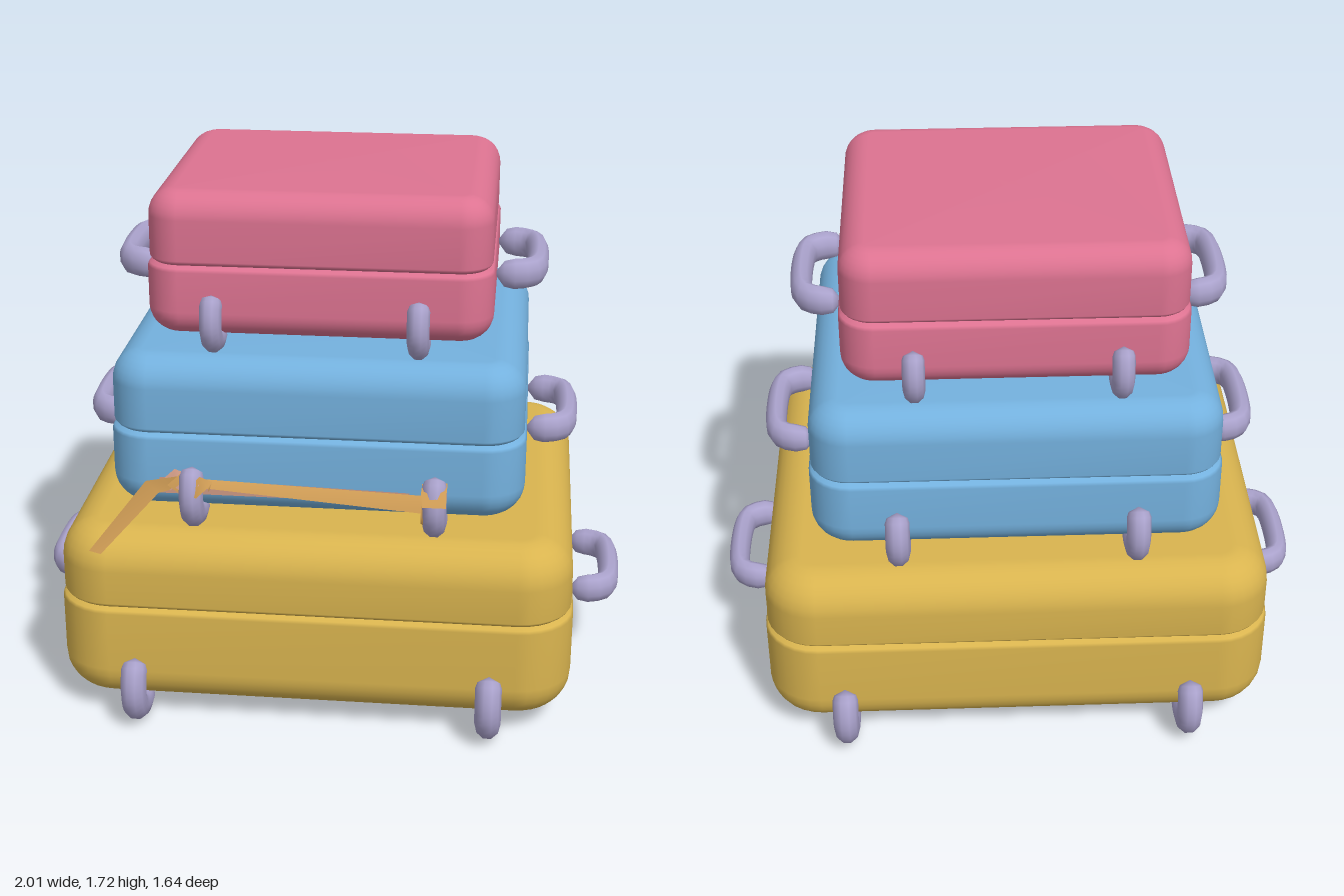
import * as THREE from 'three';
import { mergeVertices } from 'three/addons/utils/BufferGeometryUtils.js';

const material = (name, color, side = THREE.FrontSide) => {
  const m = new THREE.MeshStandardMaterial({ color, side });
  m.name = name;
  return m;
};

const named = (object, name) => {
  object.name = name;
  return object;
};

// Rounded rectangle in plan, shrunk by an inset, as [x, z] points
function outline(hx, hz, r, inset) {
  const pts = [], steps = 7;
  [[1, 1], [-1, 1], [-1, -1], [1, -1]].forEach(([sx, sz], q) => {
    for (let i = 0; i <= steps; i++) {
      const a = (q + i / steps) * Math.PI / 2;
      pts.push([sx * (hx - r) + Math.cos(a) * (r - inset), sz * (hz - r) + Math.sin(a) * (r - inset)]);
    }
  });
  return pts;
}

// Skin a stack of [inset, y] levels; an inset of null closes the stack at its middle
function shell(hx, hz, r, levels) {
  const pos = [], idx = [];
  const n = outline(hx, hz, r, 0).length;
  levels.forEach(([inset, y], j) => {
    outline(hx, hz, r, inset ?? 0).forEach(([x, z], i) => {
      pos.push(...(inset === null ? [0, y, 0] : [x, y, z]));
      if (j === levels.length - 1) return;
      const a = j * n + i, c = j * n + (i + 1) % n;
      idx.push(a, a + n, c, c, a + n, c + n);
    });
  });
  const g = new THREE.BufferGeometry();
  g.setAttribute('position', new THREE.Float32BufferAttribute(pos, 3));
  g.setIndex(idx);
  g.computeVertexNormals();
  return g;
}

// Tube along a path with pinched, closed ends, stretched by a scale
function roundedTube(points, radius, scale) {
  const n = 18, sides = 10;
  const curve = new THREE.CatmullRomCurve3(points.map(p => new THREE.Vector3(...p)));
  let g = new THREE.TubeGeometry(curve, n, radius, sides);
  const p = g.attributes.position, v = new THREE.Vector3();
  for (const [ring, k] of [[0, 0], [1, 0.85], [n - 1, 0.85], [n, 0]]) {
    const centre = curve.getPointAt(ring / n);
    for (let i = 0; i <= sides; i++) {
      const at = ring * (sides + 1) + i;
      v.fromBufferAttribute(p, at).sub(centre).multiplyScalar(k).add(centre);
      p.setXYZ(at, v.x, v.y, v.z);
    }
  }
  g.deleteAttribute('uv');
  g.deleteAttribute('normal');
  g.scale(...scale);
  g = mergeVertices(g, 1e-5);
  g.computeVertexNormals();
  return g;
}

function suitcase(name, s, paint, trim) {
  const group = named(new THREE.Group(), name);
  const arc = Array.from({ length: 8 }, (_, i) => {
    const a = i / 7 * Math.PI / 2;
    return [s.fillet * (1 - Math.sin(a)), s.fillet * (1 - Math.cos(a))];
  });

  // Bottom half and lid meet in a shallow groove
  const base = [[null, s.bottom], ...arc.map(([d, h]) => [d, s.bottom + h]),
    [0, s.seam - 0.018], [0.006, s.seam - 0.008], [0.022, s.seam]];
  const lid = [[0.022, s.seam], [0.014, s.seam + 0.006], [0.007, s.seam + 0.016],
    ...arc.map(([d, h]) => [d + 0.007, s.top - h]).reverse(), [null, s.top]];
  for (const [part, levels] of [['bottomShell', base], ['lid', lid]]) {
    const mesh = named(new THREE.Mesh(shell(s.hx, s.hz, s.corner, levels), paint), part);
    mesh.position.x = -0.006;
    group.add(mesh);
  }

  // Side handles
  const handleGeo = roundedTube([[-0.01, 0, -0.185], [0.065, 0, -0.182], [0.11, 0, -0.155], [0.125, 0, -0.11],
    [0.125, 0, 0.11], [0.11, 0, 0.155], [0.065, 0, 0.182], [-0.01, 0, 0.185]], 0.036, [1, 1.42, 1]);
  for (const side of [1, -1]) {
    const handle = named(new THREE.Mesh(handleGeo, trim), side > 0 ? 'leftHandle' : 'rightHandle');
    handle.position.set(side * (s.hx - 0.002), s.handleY, 0);
    if (side < 0) handle.rotation.y = Math.PI;
    group.add(handle);
  }

  // Curved feet wrapping the lower front and back edges
  const footGeo = roundedTube([[0, 0.178, 0.008], [0, 0.135, 0.036], [0, 0.085, 0.05], [0, 0.035, 0.038],
    [0, 0.002, 0.002], [0, -0.01, -0.05], [0, 0.002, -0.115]], 0.05, [0.85, 1, 1]);
  for (const end of [1, -1]) {
    for (const x of s.feet) {
      const foot = named(new THREE.Mesh(footGeo, trim), end > 0 ? 'frontFoot' : 'backFoot');
      foot.scale.setScalar(s.footScale);
      foot.position.set(x, s.bottom, end * s.hz);
      if (end < 0) foot.rotation.y = Math.PI;
      group.add(foot);
    }
  }
  return group;
}

// Thin cloth strip through pairs of edge points
function ribbon(pairs, mat, name) {
  const g = new THREE.BufferGeometry();
  g.setAttribute('position', new THREE.Float32BufferAttribute(pairs.flat(2), 3));
  const idx = [];
  for (let i = 0; i < pairs.length - 1; i++) idx.push(2 * i, 2 * i + 1, 2 * i + 2, 2 * i + 2, 2 * i + 1, 2 * i + 3);
  g.setIndex(idx);
  g.computeVertexNormals();
  return named(new THREE.Mesh(g, mat), name);
}

export function createModel() {
  const model = named(new THREE.Group(), 'suitcaseStack');
  const yellow = material('yellowShell', 0xd9b44f);
  const blue = material('blueShell', 0x74b1de);
  const pink = material('pinkShell', 0xdd7391);
  const lilac = material('lilacTrim', 0xaba3cd);
  const tan = material('tanCloth', 0xcf9c55, THREE.DoubleSide);
  const salmon = material('salmonCloth', 0xcf9a85, THREE.DoubleSide);

  model.add(
    suitcase('largeSuitcase', { hx: 0.84, hz: 0.72, bottom: 0.065, seam: 0.412, top: 0.665, corner: 0.18,
      fillet: 0.125, handleY: 0.297, feet: [-0.577, 0.572], footScale: 1 }, yellow, lilac),
    suitcase('mediumSuitcase', { hx: 0.668, hz: 0.592, bottom: 0.71, seam: 0.975, top: 1.225, corner: 0.135,
      fillet: 0.1, handleY: 0.886, feet: [-0.393, 0.38], footScale: 0.93 }, blue, lilac),
    suitcase('smallSuitcase', { hx: 0.55, hz: 0.485, bottom: 1.265, seam: 1.5, top: 1.732, corner: 0.11,
      fillet: 0.085, handleY: 1.419, feet: [-0.336, 0.314], footScale: 0.84 }, pink, lilac),
  );

  // Scarf strung between the front feet of the middle case
  const scarf = named(new THREE.Group(), 'scarf');
  scarf.add(
    ribbon([[[-0.42, 0.84, 0.61], [-0.42, 0.825, 0.64]], [[0.34, 0.825, 0.635], [0.34, 0.775, 0.66]],
      [[0.35, 0.75, 0.69], [0.34, 0.74, 0.66]]], tan, 'scarfSpan'),
    ribbon([[[-0.5, 0.835, 0.6], [-0.5, 0.78, 0.6]], [[0.3, 0.815, 0.6], [0.3, 0.78, 0.6]]], salmon, 'scarfBack'),
    ribbon([[[0.34, 0.85, 0.6], [0.42, 0.855, 0.6]], [[0.34, 0.845, 0.66], [0.42, 0.85, 0.66]],
      [[0.345, 0.81, 0.692], [0.42, 0.81, 0.692]]], tan, 'scarfLoop'),
    ribbon([[[-0.43, 0.85, 0.62], [-0.4, 0.82, 0.62]], [[-0.54, 0.83, 0.625], [-0.5, 0.79, 0.625]],
      [[-0.72, 0.605, 0.69], [-0.68, 0.6, 0.7]]], tan, 'scarfTail'),
  );
  // Folds of the knot
  for (let i = 0; i < 4; i++) {
    const x = -0.46 + i * 0.03, z = 0.61 + i * 0.018;
    scarf.add(ribbon([[[x - 0.04, 0.82, z], [x, 0.8, z + 0.015]], [[x + 0.01, 0.865, z - 0.01], [x + 0.04, 0.84, z + 0.02]],
      [[x + 0.05, 0.85, z - 0.01], [x + 0.04, 0.82, z]]], i % 2 ? tan : salmon, 'scarfKnotFold'));
  }
  model.add(scarf);
  return model;
}
